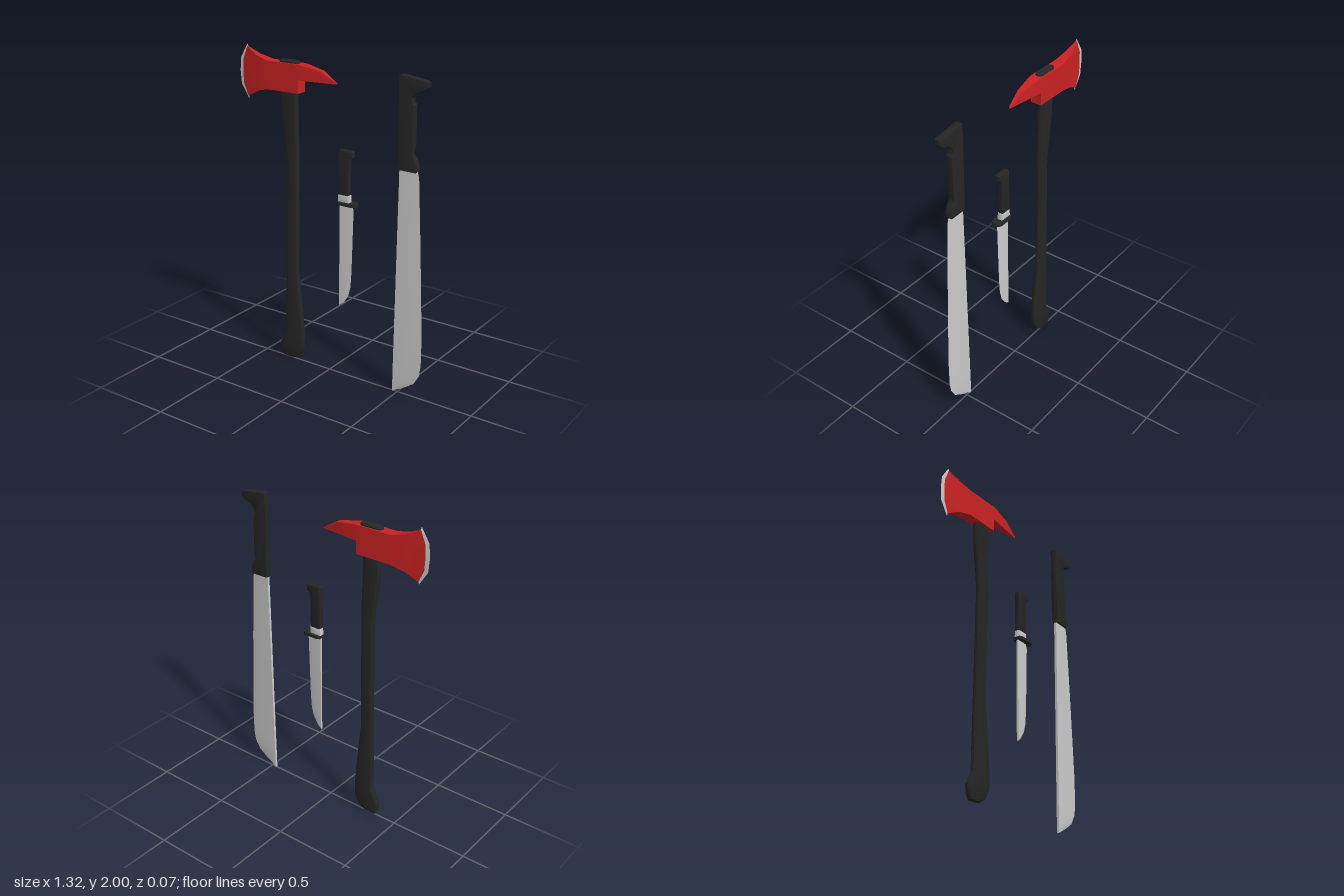
import * as THREE from 'three';
import { toCreasedNormals } from 'three/addons/utils/BufferGeometryUtils.js';

const red = new THREE.MeshStandardMaterial({ color: 0xcc2222 });
const black = new THREE.MeshStandardMaterial({ color: 0x262626 });
const steel = new THREE.MeshStandardMaterial({ color: 0xcccccc });

function part(name, geometry, material) {
  const mesh = new THREE.Mesh(geometry, material);
  mesh.name = name;
  return mesh;
}

// Skins a list of rings (each right-handed about the travel direction), capping both ends.
function loft(rings, crease = 0.6) {
  const pos = [];
  const tri = (a, b, c) => pos.push(...a, ...b, ...c);
  const n = rings[0].length;
  for (let i = 0; i < rings.length - 1; i++) {
    for (let j = 0; j < n; j++) {
      const k = (j + 1) % n;
      const [a, b, c, d] = [rings[i][j], rings[i][k], rings[i + 1][k], rings[i + 1][j]];
      tri(a, b, c);
      tri(a, c, d);
    }
  }
  const first = rings[0], last = rings[rings.length - 1];
  for (let j = 1; j < n - 1; j++) {
    tri(first[0], first[j + 1], first[j]);
    tri(last[0], last[j], last[j + 1]);
  }
  const g = new THREE.BufferGeometry();
  g.setAttribute('position', new THREE.Float32BufferAttribute(pos, 3));
  return toCreasedNormals(g, crease);
}

// Horizontal rounded-end section of the axe handle.
function stadiumRing([y, xl, xr, r]) {
  const ring = [];
  for (const [cx, start] of [[xr - r, 0], [xl + r, Math.PI]]) {
    for (let k = 0; k <= 5; k++) {
      const a = start + (Math.PI * k) / 5;
      ring.push([cx + r * Math.sin(a), y, r * Math.cos(a)]);
    }
  }
  return ring;
}

// Upright section of the axe head, bowed in x towards its top and bottom.
function headRing([xMid, xEnd, yTop, yBottom, hz]) {
  const side = [1, 0.12, 0, 0.12, 1].map((w, i) =>
    [xMid + (xEnd - xMid) * w, yTop + ((yBottom - yTop) * i) / 4, hz]);
  return [...side, ...side.map(([x, y, z]) => [x, y, -z]).reverse()];
}

// Blade from stations [y, spine x, edge x]: thick spine, ground to a sharp edge.
function blade(stations, t) {
  return loft(stations.map(([y, xs, xe]) => {
    const xb = xs + (xe - xs) * 0.7;
    return [[xs, y, t], [xb, y, t * 0.7], [xe, y, 0], [xb, y, -t * 0.7], [xs, y, -t]];
  }), 0.35);
}

// Flat outline with softened rims, centred on z = 0.
function slab(points, depth, bevel) {
  const shape = new THREE.Shape(points.map(([x, y]) => new THREE.Vector2(x, y)));
  const g = new THREE.ExtrudeGeometry(shape, {
    depth: depth - 2 * bevel, bevelEnabled: true, bevelThickness: bevel,
    bevelSize: bevel, bevelOffset: -bevel, bevelSegments: 2,
  });
  g.translate(0, 0, -depth / 2 + bevel);
  return toCreasedNormals(g, 0.6);
}

function createAxe() {
  const axe = new THREE.Group();
  axe.name = 'axe';
  axe.add(part('axeHandle', loft([
    [0.015, -0.358, -0.268, 0.016],
    [0.045, -0.372, -0.225, 0.02],
    [0.1, -0.378, -0.196, 0.022],
    [0.18, -0.333, -0.195, 0.022],
    [0.3, -0.332, -0.203, 0.022],
    [0.62, -0.325, -0.235, 0.022],
    [1.3, -0.311, -0.226, 0.022],
    [1.4, -0.318, -0.224, 0.022],
    [1.62, -0.345, -0.229, 0.024],
    [1.75, -0.348, -0.23, 0.025],
    [1.9, -0.357, -0.21, 0.025],
    [1.93, -0.357, -0.21, 0.025],
    [1.937, -0.35, -0.217, 0.019],
  ].map(stadiumRing)), black));

  const border = [-0.636, -0.599, 1.985, 1.685, 0.005];
  axe.add(part('axeCuttingEdge', loft([[-0.66, -0.6, 2, 1.67, 0.001], border].map(headRing), 0.3), steel));
  axe.add(part('axeHead', loft([
    border,
    [-0.52, -0.52, 1.945, 1.728, 0.023],
    [-0.43, -0.43, 1.922, 1.75, 0.034],
    [-0.2, -0.203, 1.922, 1.75, 0.034],
  ].map(headRing), 0.3), red));
  axe.add(part('axePick', loft([
    [-0.202, -0.202, 1.922, 1.83, 0.034],
    [-0.18, -0.18, 1.92, 1.83, 0.033],
    [-0.05, -0.05, 1.896, 1.83, 0.017],
    [0.05, 0.05, 1.837, 1.83, 0.004],
  ].map(headRing), 0.3), red));
  return axe;
}

function createKnife() {
  const knife = new THREE.Group();
  knife.name = 'knife';
  knife.add(part('knifeBlade', blade([
    [0.47, 0.075, 0.078], [0.49, 0.075, 0.105], [0.54, 0.075, 0.137],
    [0.6, 0.075, 0.153], [0.7, 0.075, 0.16], [1.1, 0.075, 0.172], [1.112, 0.075, 0.165],
    [1.13, 0.075, 0.162],
  ], 0.006), steel));
  knife.add(part('knifeHandle', slab([
    [0.072, 1.18], [0.143, 1.18], [0.145, 1.385], [0.153, 1.41], [0.17, 1.42],
    [0.171, 1.45], [0.165, 1.456], [0.08, 1.456], [0.073, 1.45],
  ], 0.036, 0.007), black));
  knife.add(part('knifeCollar', slab([
    [0.068, 1.135], [0.147, 1.135], [0.145, 1.185], [0.072, 1.185],
  ], 0.034, 0.004), steel));

  // Guard: flat plate, squared at the spine and rounded towards the edge
  const plate = new THREE.Shape();
  plate.moveTo(0.08, -0.033);
  plate.lineTo(0.165, -0.033);
  plate.absarc(0.165, 0, 0.033, -Math.PI / 2, Math.PI / 2);
  plate.lineTo(0.08, 0.033);
  plate.lineTo(0.066, 0.022);
  plate.lineTo(0.066, -0.022);
  const guard = new THREE.ExtrudeGeometry(plate, { depth: 0.018, bevelEnabled: false, curveSegments: 10 });
  guard.rotateX(-Math.PI / 2).translate(0, 1.122, 0);
  knife.add(part('knifeGuard', toCreasedNormals(guard, 0.6), black));
  return knife;
}

function createMachete() {
  const machete = new THREE.Group();
  machete.name = 'machete';
  machete.add(part('macheteBlade', blade([
    [0.005, 0.467, 0.472], [0.05, 0.467, 0.553], [0.09, 0.468, 0.61], [0.15, 0.468, 0.645],
    [0.22, 0.469, 0.656], [0.4, 0.471, 0.656], [0.95, 0.477, 0.63],
    [1.37, 0.482, 0.607], [1.41, 0.482, 0.596],
  ], 0.008), steel));
  machete.add(part('macheteHandle', slab([
    [0.482, 1.402], [0.59, 1.4], [0.599, 1.412], [0.6, 1.44], [0.586, 1.475], [0.567, 1.5],
    [0.566, 1.52], [0.573, 1.55], [0.572, 1.78], [0.56, 1.795], [0.56, 1.82], [0.582, 1.848],
    [0.642, 1.872], [0.655, 1.887], [0.654, 1.915], [0.645, 1.922], [0.49, 1.943], [0.474, 1.938],
    [0.473, 1.78], [0.477, 1.5],
  ], 0.042, 0.006), black));
  return machete;
}

export function createModel() {
  const model = new THREE.Group();
  model.name = 'bladedToolSet';
  model.add(createAxe(), createKnife(), createMachete());
  return model;
}
